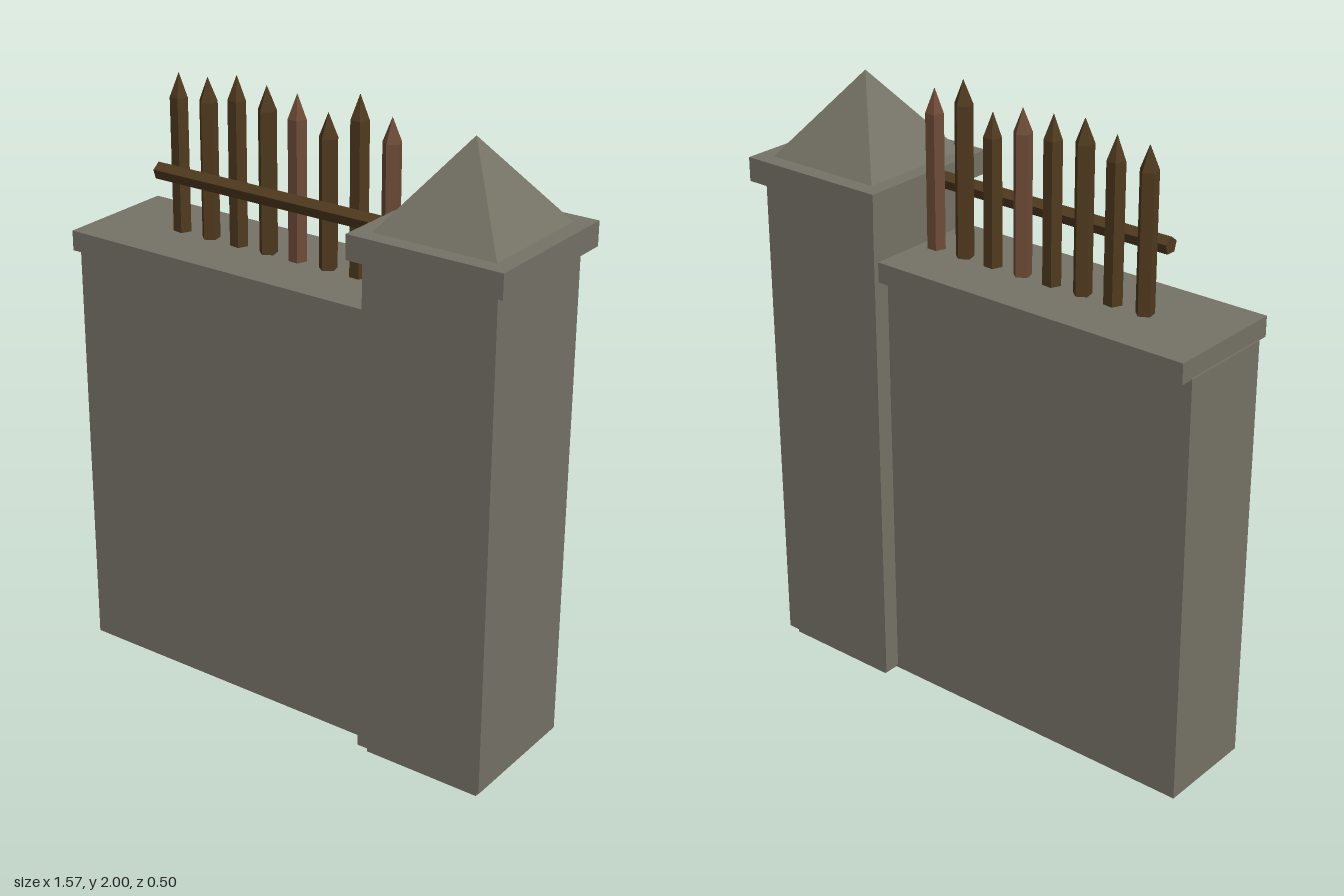
import * as THREE from 'three';
import { mergeGeometries } from 'three/addons/utils/BufferGeometryUtils.js';

const material = (name, color) => {
  const m = new THREE.MeshStandardMaterial({ color, flatShading: true });
  m.name = name;
  return m;
};

export function createModel() {
  const stone = material('stone', 0x757266);
  const darkWood = material('dark wood', 0x503a1f);
  const redWood = material('reddish wood', 0x6e4c37);
  const group = new THREE.Group();

  const add = (name, geometry, mat, parent = group) => {
    const mesh = new THREE.Mesh(geometry, mat);
    mesh.name = name;
    parent.add(mesh);
    return mesh;
  };

  // Block given by its x and y limits and its half depth
  const block = (name, x0, x1, y0, y1, halfDepth, mat = stone) => {
    const mesh = add(name, new THREE.BoxGeometry(x1 - x0, y1 - y0, halfDepth * 2), mat);
    mesh.position.set((x0 + x1) / 2, (y0 + y1) / 2, 0);
  };

  // Wall and its coping
  block('wall', -0.787, 0.34, 0.015, 1.395, 0.163);
  block('coping', -0.782, 0.33, 1.391, 1.455, 0.202);

  // Gate pillar, from the foot up
  block('pillarFoot', 0.335, 0.73, 0, 0.04, 0.2);
  block('pillarShaft', 0.313, 0.75, 0.026, 1.601, 0.219);
  block('pillarNeck', 0.335, 0.73, 1.595, 1.62, 0.2, redWood);
  block('pillarCap', 0.28, 0.785, 1.613, 1.689, 0.252);

  // Four-sided roof on the pillar
  const roof = new THREE.ConeGeometry(0.2 * Math.SQRT2, 0.262, 4);
  roof.rotateY(Math.PI / 4);
  add('pillarRoof', roof, stone).position.set(0.532, 1.689 + 0.131, 0);

  // Pointed five-sided pickets of uneven height
  const fence = new THREE.Group();
  fence.name = 'fence';
  group.add(fence);
  const tops = [1.952, 1.956, 1.98, 1.968, 1.963, 1.927, 2, 1.953];
  const base = 1.42, radius = 0.029, point = 0.075;
  tops.forEach((top, i) => {
    const height = top - point - base;
    const shaft = new THREE.CylinderGeometry(radius, radius, height, 5);
    shaft.translate(0, height / 2, 0);
    const tip = new THREE.ConeGeometry(radius, point, 5);
    tip.translate(0, height + point / 2, 0);
    const picket = add('picket', mergeGeometries([shaft, tip]), i === 4 || i === 7 ? redWood : darkWood, fence);
    picket.position.set(-0.512 + i * 0.1098, base, -0.003);
    picket.rotation.y = 0.5 + i * 1.9;
  });

  // Rail in front of the pickets, with one ridge upward
  const rail = new THREE.CylinderGeometry(0.027, 0.027, 0.9, 5, 1, false, Math.PI / 2);
  rail.rotateZ(Math.PI / 2);
  add('rail', rail, darkWood, fence).position.set(-0.105, 1.653, 0.051);

  return group;
}
